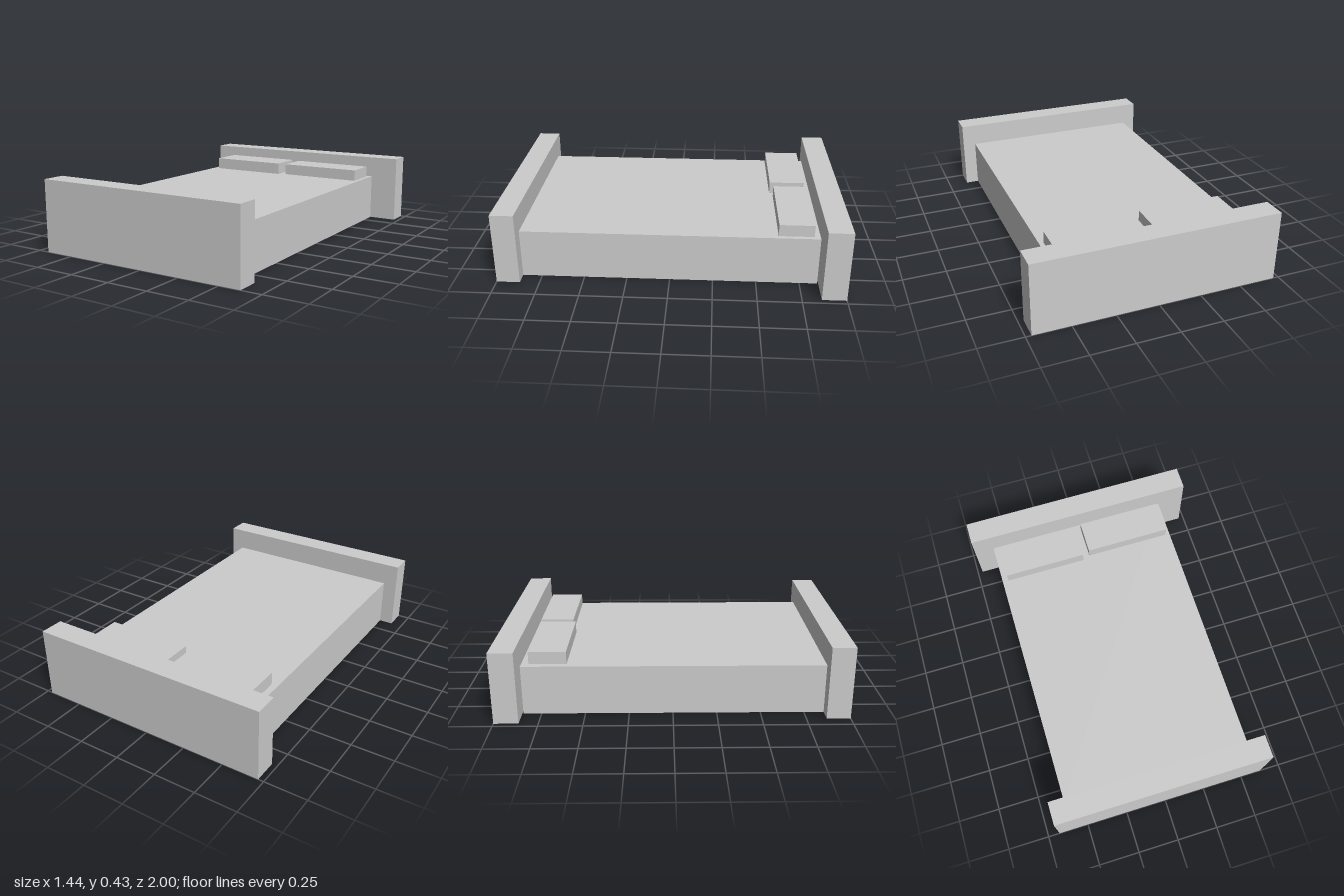
import * as THREE from 'three';

export function createModel() {
  const group = new THREE.Group();
  const material = new THREE.MeshStandardMaterial({ color: 0xcccccc, flatShading: true });

  // Box given by its [min, max] extent on each axis
  function block(name, [x0, x1], [y0, y1], [z0, z1]) {
    const mesh = new THREE.Mesh(new THREE.BoxGeometry(x1 - x0, y1 - y0, z1 - z0), material);
    mesh.position.set((x0 + x1) / 2, (y0 + y1) / 2, (z0 + z1) / 2);
    mesh.name = name;
    group.add(mesh);
  }

  // Bed base and mattress in one block
  block('mattress', [-0.595, 0.547], [0, 0.29], [-0.854, 0.864]);

  // End boards
  block('headboard', [-0.718, 0.718], [0, 0.421], [-1, -0.86]);
  block('footboard', [-0.68, 0.628], [0, 0.428], [0.864, 1]);

  // Pillows, laid slightly unevenly
  block('rightPillow', [-0.557, -0.052], [0.29, 0.364], [-0.812, -0.598]);
  block('leftPillow', [-0.006, 0.52], [0.29, 0.36], [-0.82, -0.618]);

  return group;
}
